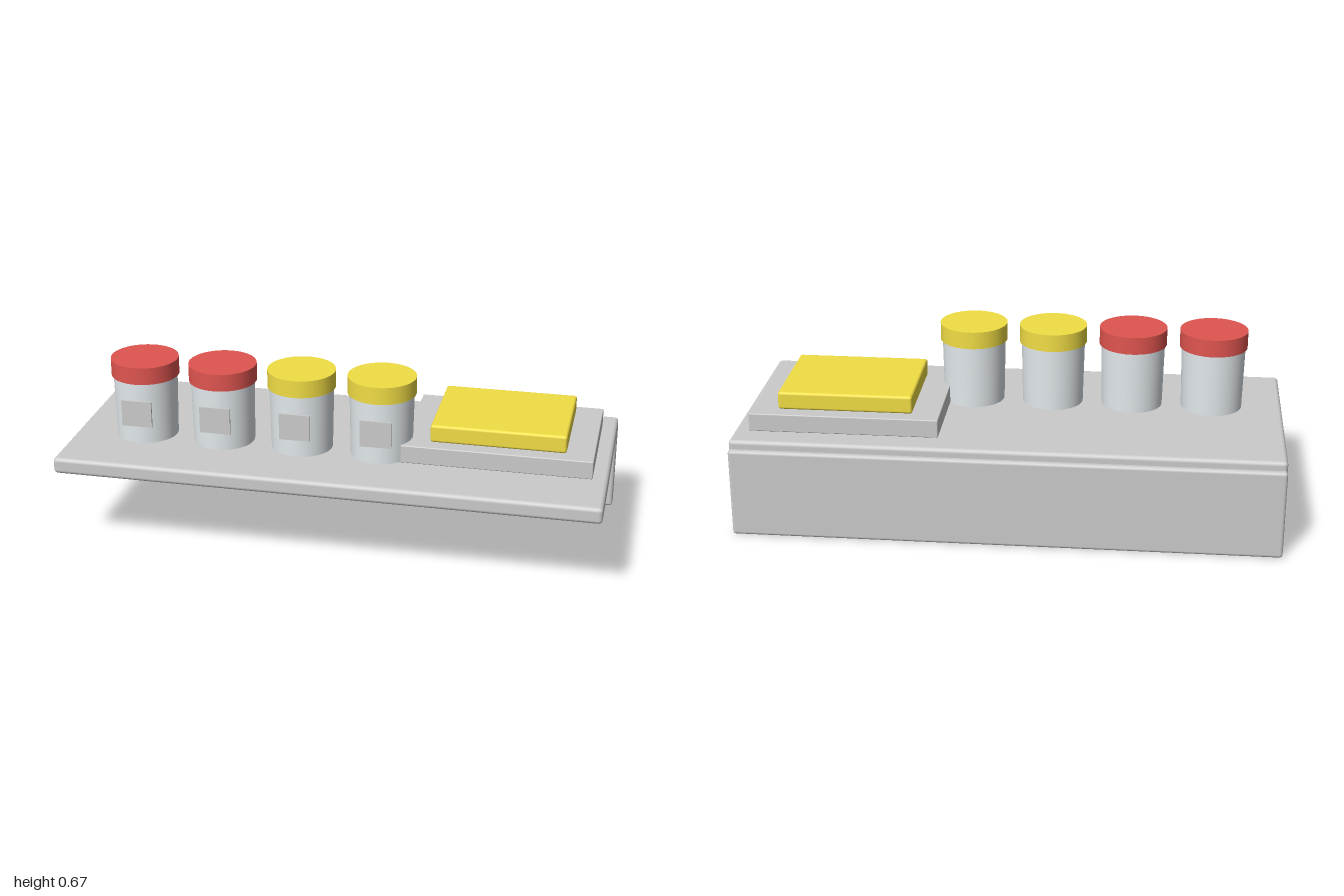
import * as THREE from 'three';
import { RoundedBoxGeometry } from 'three/addons/geometries/RoundedBoxGeometry.js';

const paint = (color) => new THREE.MeshStandardMaterial({ color });
const grey = paint(0xcccccc);
const pale = paint(0xe4eaee);
const red = paint(0xe05550);
const yellow = paint(0xf2de45);

// Rounded slab given by its [min, max] extents
function slab(name, [x0, x1], [y0, y1], [z0, z1], radius, material) {
  const mesh = new THREE.Mesh(
    new RoundedBoxGeometry(x1 - x0, y1 - y0, z1 - z0, 4, radius), material);
  mesh.position.set((x0 + x1) / 2, (y0 + y1) / 2, (z0 + z1) / 2);
  mesh.name = name;
  return mesh;
}

// Tapered jar with a wider lid and a flat label on its front
function jar(lidMaterial) {
  const group = new THREE.Group();
  group.name = 'jar';
  const add = (name, geometry, material, y, z = 0) => {
    const mesh = new THREE.Mesh(geometry, material);
    mesh.name = name;
    mesh.position.set(0, y, z);
    group.add(mesh);
  };
  add('jarBody', new THREE.CylinderGeometry(0.119, 0.114, 0.24, 48), pale, 0.12);
  add('jarLid', new THREE.CylinderGeometry(0.126, 0.126, 0.065, 48), lidMaterial, 0.27);
  add('jarLabel', new THREE.BoxGeometry(0.115, 0.1, 0.008), grey, 0.12, 0.121);
  return group;
}

export function createModel() {
  const model = new THREE.Group();
  model.name = 'shelfWithJars';

  // Shelf board and the panel hanging from its rear edge
  model.add(
    slab('shelfBoard', [-1, 1], [0.305, 0.366], [-0.405, 0.425], 0.015, grey),
    slab('backPanel', [-1, 1], [0, 0.334], [-0.425, -0.36], 0.012, grey));

  // Tray with a block on top
  model.add(
    slab('tray', [0.25, 0.945], [0.366, 0.434], [-0.308, 0.192], 0.004, grey),
    slab('trayBlock', [0.35, 0.845], [0.434, 0.501], [-0.258, 0.142], 0.01, yellow));

  // Row of four jars
  [red, red, yellow, yellow].forEach((lid, i) => {
    const item = jar(lid);
    item.position.set(-0.735 + 0.3 * i, 0.366, 0.109);
    model.add(item);
  });

  return model;
}
